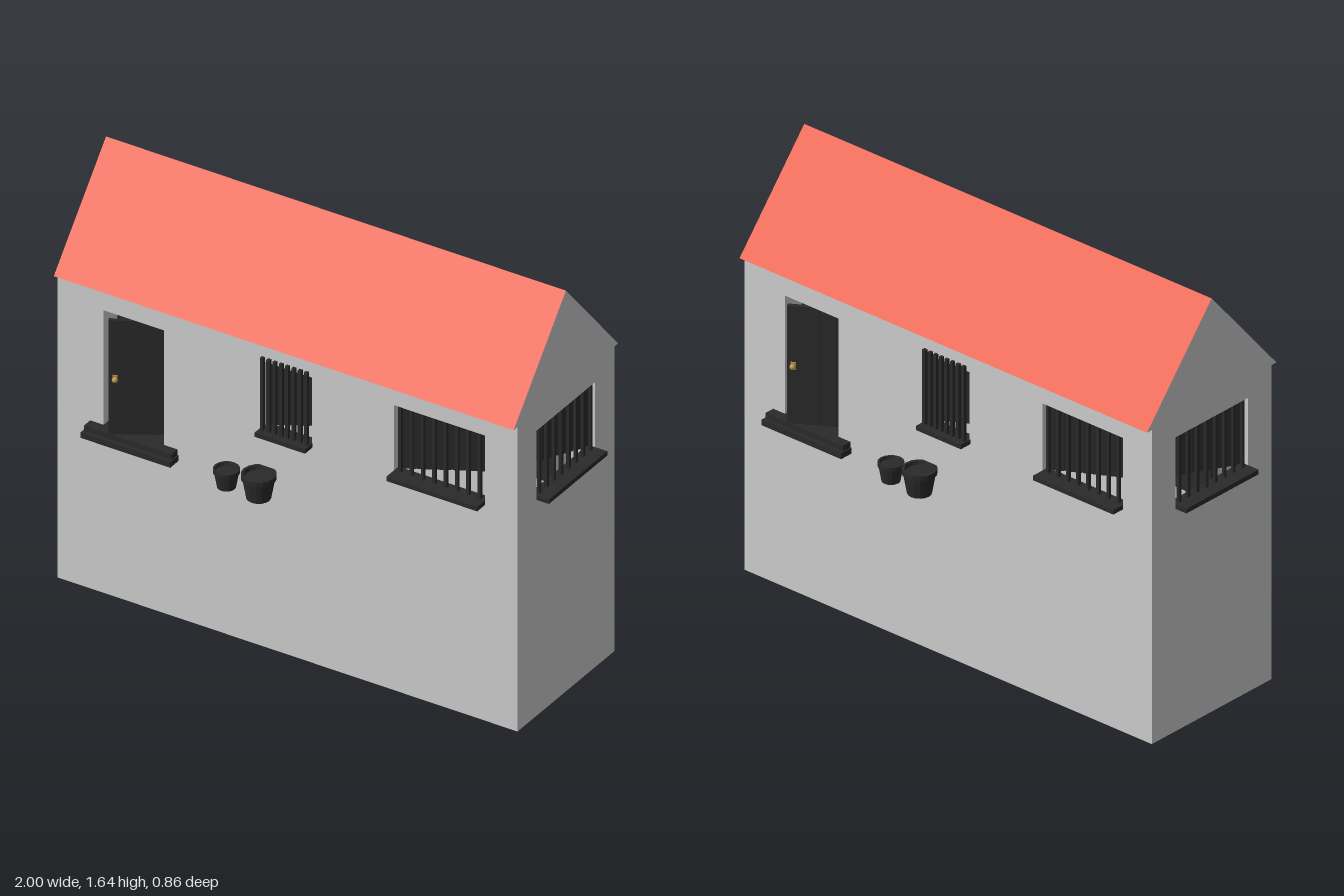
import * as THREE from 'three';

const wallMat = new THREE.MeshStandardMaterial({ color: 0xcccccc, side: THREE.DoubleSide, flatShading: true });
const roofMat = new THREE.MeshStandardMaterial({ color: 0xe8583f, side: THREE.DoubleSide });
const darkMat = new THREE.MeshStandardMaterial({ color: 0x2a2a2a, side: THREE.DoubleSide });
const brassMat = new THREE.MeshStandardMaterial({ color: 0xb8964a });

const HALF_X = 0.95, HALF_Z = 0.315, EAVE_Y = 1.25, EAVE_Z = 0.34, RIDGE_Y = 1.645;

function add(parent, name, geometry, material, x = 0, y = 0, z = 0) {
  const mesh = new THREE.Mesh(geometry, material);
  mesh.name = name;
  mesh.position.set(x, y, z);
  parent.add(mesh);
  return mesh;
}

function box(parent, name, x0, x1, y0, y1, z0, z1, material = darkMat) {
  return add(parent, name, new THREE.BoxGeometry(x1 - x0, y1 - y0, z1 - z0), material,
    (x0 + x1) / 2, (y0 + y1) / 2, (z0 + z1) / 2);
}

// Sheet wall from an outline, with rectangular openings and their jambs
function wall(parent, name, outline, openings) {
  const shape = new THREE.Shape(outline.map(([x, y]) => new THREE.Vector2(x, y)));
  for (const [x0, x1, y0, y1, depth] of openings) {
    shape.holes.push(new THREE.Path([[x0, y0], [x0, y1], [x1, y1], [x1, y0]]
      .map(([x, y]) => new THREE.Vector2(x, y))));
    const jamb = new THREE.CylinderGeometry(Math.SQRT1_2, Math.SQRT1_2, 1, 4, 1, true);
    jamb.rotateY(Math.PI / 4).rotateX(Math.PI / 2).scale(x1 - x0, y1 - y0, depth);
    add(parent, 'jamb', jamb, wallMat, (x0 + x1) / 2, (y0 + y1) / 2, -depth / 2);
  }
  add(parent, name, new THREE.ShapeGeometry(shape), wallMat);
}

// Planked leaf hanging from a hinge at its origin, dir = +1 or -1 along x
function leaf(parent, name, hingeX, y0, y1, hingeZ, width, dir, angle, planks = 4) {
  const group = new THREE.Group();
  group.name = name;
  group.position.set(hingeX, 0, hingeZ);
  group.rotation.y = angle;
  const step = width / planks;
  for (let i = 0; i < planks; i++) {
    const mid = dir * (i + 0.5) * step;
    box(group, 'plank', mid - step / 2 + 0.002, mid + step / 2 - 0.002, y0, y1, -0.008, 0.008);
  }
  box(group, 'backing', Math.min(0, dir * width), Math.max(0, dir * width), y0, y1, -0.006, 0.004);
  parent.add(group);
  return group;
}

// Upright bars spread evenly across an opening
function bars(parent, x0, x1, y0, y1, z, count, size) {
  for (let i = 0; i < count; i++) {
    const x = x0 + (x1 - x0) * (i + 0.5) / count;
    box(parent, 'windowBar', x - size / 2, x + size / 2, y0, y1, z - size / 2, z + size / 2);
  }
}

function barredWindow(parent, x0, x1, dir) {
  bars(parent, x0, x1, 0.9, 1.17, -0.005, 8, 0.012);
  box(parent, 'windowSill', x0, x1, 0.885, 0.903, -0.03, 0.05);
  leaf(parent, 'shutter', dir > 0 ? x0 : x1, 0.9, 1.17, -0.03, x1 - x0, dir, dir * 0.5, 6);
}

function pot(parent, x, z, topR, height) {
  const profile = [[0, 0], [0.7, 0], [0.92, 0.8], [1, 0.8], [1, 1], [0.85, 1], [0.8, 0.85], [0, 0.85]]
    .map(([r, h]) => new THREE.Vector2(r * topR, h * height));
  const geometry = new THREE.LatheGeometry(profile, 16).toNonIndexed();
  geometry.computeVertexNormals();
  add(parent, 'flowerPot', geometry, darkMat, x, 0.645, z);
}

// Long side with door, barred windows and pots; local z = 0 is the wall plane
function longSide() {
  const side = new THREE.Group();
  wall(side, 'longWall',
    [[-HALF_X, 0], [HALF_X, 0], [HALF_X, EAVE_Y], [-HALF_X, EAVE_Y]],
    [[-0.76, -0.51, 0.685, 1.16, 0.09], [-0.1, 0.1, 0.9, 1.17, 0.03], [0.44, 0.815, 0.9, 1.17, 0.03]]);

  // door standing ajar
  const door = leaf(side, 'doorLeaf', -0.515, 0.69, 1.157, -0.085, 0.235, -1, 0.55);
  box(door, 'doorPlate', -0.222, -0.204, 0.905, 0.935, 0.008, 0.012, brassMat);
  add(door, 'doorKnob', new THREE.SphereGeometry(0.011, 12, 8), brassMat, -0.213, 0.922, 0.022);
  box(side, 'doorBack', -0.76, -0.51, 0.685, 1.16, -0.105, -0.1);
  box(side, 'lowerStep', -0.82, -0.45, 0.645, 0.668, -0.01, 0.055);
  box(side, 'upperStep', -0.815, -0.455, 0.668, 0.69, -0.09, 0.04);

  // middle grille stands proud of the wall
  bars(side, -0.104, 0.104, 0.895, 1.2, 0.02, 8, 0.013);
  box(side, 'grilleSill', -0.104, 0.104, 0.885, 0.903, -0.03, 0.05);
  leaf(side, 'shutter', -0.1, 0.9, 1.17, -0.03, 0.2, 1, 0.5);

  barredWindow(side, 0.44, 0.815, 1);

  pot(side, -0.218, 0.054, 0.048, 0.075);
  pot(side, -0.085, 0.054, 0.063, 0.098);
  return side;
}

// Gable end with one barred window
function gableEnd() {
  const end = new THREE.Group();
  wall(end, 'gableWall',
    [[-HALF_Z, 0], [HALF_Z, 0], [HALF_Z, EAVE_Y], [EAVE_Z, EAVE_Y], [0, RIDGE_Y], [-EAVE_Z, EAVE_Y], [-HALF_Z, EAVE_Y]],
    [[-0.19, 0.19, 0.9, 1.17, 0.03]]);
  barredWindow(end, -0.19, 0.19, -1);
  return end;
}

// One sloping roof sheet with its flat eave strip
function roofSlope(parent) {
  const rise = RIDGE_Y - EAVE_Y;
  const sheet = new THREE.PlaneGeometry(2 * HALF_X, Math.hypot(rise, EAVE_Z));
  sheet.rotateX(-Math.atan2(EAVE_Z, rise));
  add(parent, 'roofSlope', sheet, roofMat, 0, EAVE_Y + rise / 2, EAVE_Z / 2);
  const eave = new THREE.PlaneGeometry(2 * HALF_X, EAVE_Z - HALF_Z).rotateX(Math.PI / 2);
  add(parent, 'eave', eave, wallMat, 0, EAVE_Y, (EAVE_Z + HALF_Z) / 2);
}

export function createModel() {
  const model = new THREE.Group();
  model.name = 'house';
  // the back half repeats the front half turned half way round
  for (const [i, half] of ['front', 'back'].entries()) {
    const group = new THREE.Group();
    group.name = half + 'Half';
    group.rotation.y = i * Math.PI;
    const side = longSide();
    side.name = half + 'Side';
    side.position.z = HALF_Z;
    const end = gableEnd();
    end.name = half + 'Gable';
    end.rotation.y = Math.PI / 2;
    end.position.x = HALF_X;
    group.add(side, end);
    roofSlope(group);
    model.add(group);
  }
  return model;
}
